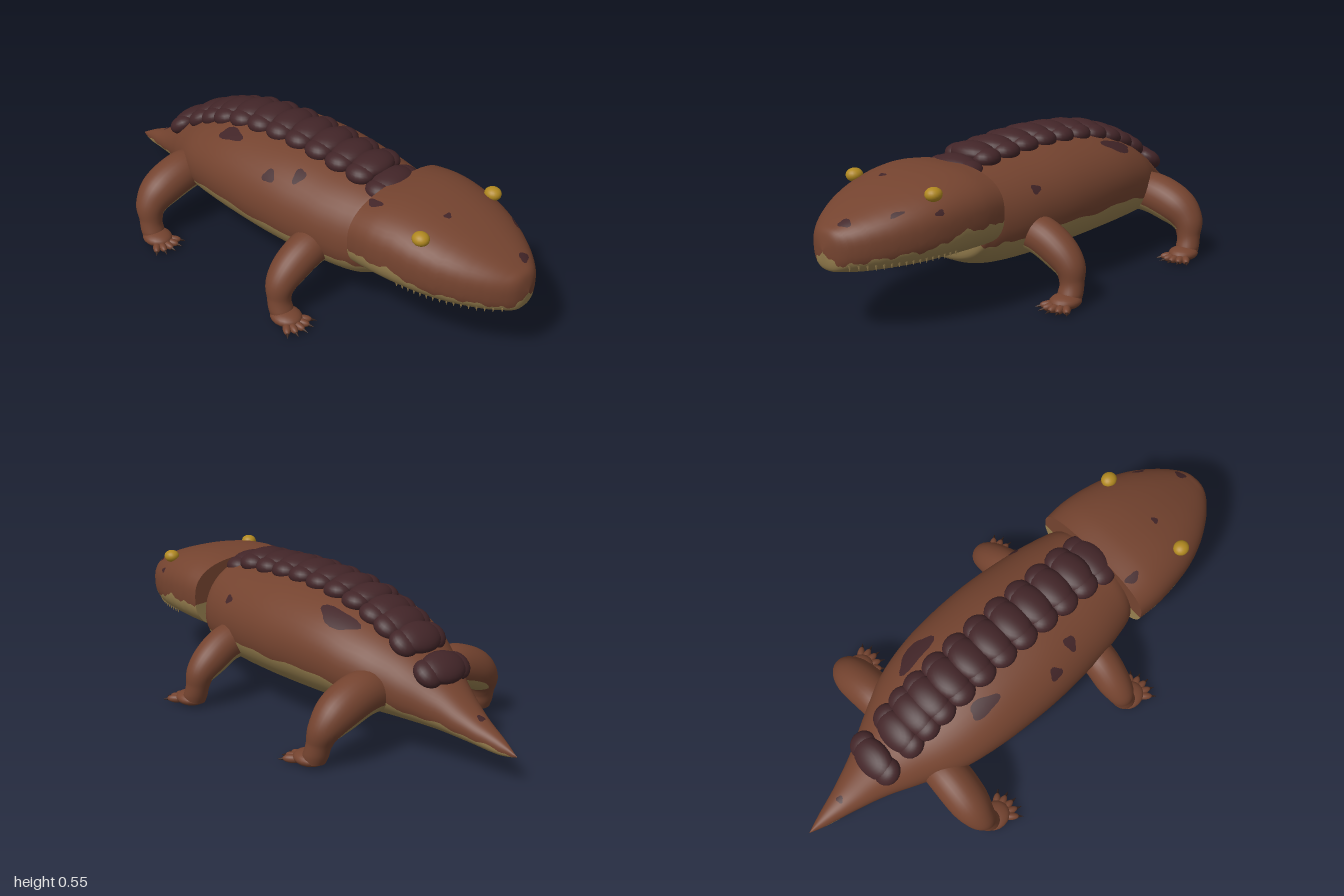
import * as THREE from 'three';

const mat = (name, color) => {
  const m = new THREE.MeshStandardMaterial({ color });
  m.name = name;
  return m;
};

// Catmull-Rom blend through the rows of a section table, t in 0..1
function sample(rows, t) {
  const f = THREE.MathUtils.clamp(t, 0, 1) * (rows.length - 1);
  const i = Math.min(Math.floor(f), rows.length - 2), k = f - i;
  const at = n => rows[THREE.MathUtils.clamp(n, 0, rows.length - 1)];
  return rows[0].map((_, c) => {
    const p0 = at(i - 1)[c], p1 = at(i)[c], p2 = at(i + 1)[c], p3 = at(i + 2)[c];
    return p1 + 0.5 * k * (p2 - p0 + k * (2 * p0 - 5 * p1 + 4 * p2 - p3 + k * (3 * (p1 - p2) + p3 - p0)));
  });
}

// Row index position (0..1) whose z matches
function findT(rows, z) {
  let lo = 0, hi = 1;
  for (let n = 0; n < 30; n++) {
    const m = (lo + hi) / 2;
    if (sample(rows, m)[0] < z) lo = m; else hi = m;
  }
  return lo;
}

// Closed smooth skin from fn(u, v) -> [x, y, z]; pick(u, v) chooses the material slot
function skin(fn, nu, nv, pick = () => 0, flip = false) {
  const pos = [], slots = [[], []];
  for (let i = 0; i <= nu; i++) for (let j = 0; j < nv; j++) pos.push(...fn(i / nu, j / nv));
  for (let i = 0; i < nu; i++) for (let j = 0; j < nv; j++) {
    const a = i * nv + j, b = i * nv + (j + 1) % nv, c = a + nv, d = b + nv;
    slots[pick((i + 0.5) / nu, (j + 0.5) / nv)].push(...(flip ? [a, c, b, b, c, d] : [a, b, c, b, d, c]));
  }
  const g = new THREE.BufferGeometry();
  g.setAttribute('position', new THREE.Float32BufferAttribute(pos, 3));
  g.setIndex([...slots[0], ...slots[1]]);
  g.addGroup(0, slots[0].length, 0);
  g.addGroup(slots[0].length, slots[1].length, 1);
  g.computeVertexNormals();
  return g;
}

// Sections: z, half width, top, bottom, widest height, colour border height
const BODY = [
  [-1.0, 0, 0.108, 0.104, 0.106, 0.106],
  [-0.93, 0.026, 0.148, 0.092, 0.12, 0.115],
  [-0.82, 0.06, 0.2, 0.1, 0.15, 0.14],
  [-0.7, 0.105, 0.28, 0.108, 0.19, 0.16],
  [-0.58, 0.165, 0.36, 0.11, 0.23, 0.19],
  [-0.44, 0.23, 0.43, 0.108, 0.27, 0.225],
  [-0.25, 0.27, 0.485, 0.103, 0.3, 0.245],
  [0.0, 0.282, 0.505, 0.098, 0.3, 0.25],
  [0.22, 0.265, 0.495, 0.097, 0.29, 0.235],
  [0.36, 0.24, 0.485, 0.107, 0.28, 0.225],
  [0.43, 0.215, 0.475, 0.13, 0.28, 0.22],
  [0.465, 0.17, 0.44, 0.16, 0.28, 0.22],
  [0.475, 0, 0.282, 0.278, 0.28, 0.28]];
const HEAD = [
  [0.43, 0.262, 0.49, 0.2, 0.35, 0.325],
  [0.52, 0.266, 0.5, 0.203, 0.35, 0.32],
  [0.62, 0.256, 0.493, 0.204, 0.345, 0.325],
  [0.72, 0.235, 0.472, 0.206, 0.335, 0.29],
  [0.81, 0.2, 0.444, 0.21, 0.325, 0.283],
  [0.89, 0.152, 0.412, 0.214, 0.315, 0.275],
  [0.95, 0.102, 0.383, 0.222, 0.305, 0.262],
  [0.985, 0.055, 0.358, 0.235, 0.3, 0.26],
  [1.0, 0, 0.302, 0.298, 0.3, 0.3]];

// Point on a section at angle a; e squares the outline, k swells it
function sectionPoint(rows, e, t, a, k = 1) {
  const [z, w, top, bot, cy] = sample(rows, t);
  const c = Math.cos(a), s = Math.sin(a), pw = q => Math.sign(q) * Math.abs(q) ** e;
  return [Math.max(w, 0) * pw(c) * k, cy + (s > 0 ? top - cy : cy - bot) * pw(s) * k, z];
}

// First half of v runs over the back, second half over the belly
function borderAngle(rows, e, t, v) {
  const r = sample(rows, t), wob = 0.006 * Math.sin(t * 47) + 0.004 * Math.sin(t * 103);
  const q = THREE.MathUtils.clamp((r[4] - r[5] + wob) / Math.max(r[4] - r[3], 0.01), 0, 0.9);
  const b = -Math.asin(q ** (1 / e));
  return v < 0.5 ? b + (Math.PI - 2 * b) * v * 2 : Math.PI - b + (Math.PI + 2 * b) * (v - 0.5) * 2;
}

export function createModel() {
  const model = new THREE.Group();
  model.name = 'amphibian';
  const brown = mat('brown skin', 0x74432f), tan = mat('tan belly', 0x98804f),
    dark = mat('dark plates', 0x422528), gold = mat('gold eyes', 0xb08820), claw = mat('dark claws', 0x352019);
  const add = (name, geo, m, parent = model) => {
    const mesh = new THREE.Mesh(geo, m);
    mesh.name = name;
    parent.add(mesh);
    return mesh;
  };
  const ball = new THREE.SphereGeometry(1, 20, 14);
  const blob = (name, m, p, s, parent) => {
    const b = add(name, ball, m, parent);
    b.position.set(...p);
    b.scale.set(...s);
    return b;
  };
  const half = (u, v) => (v < 0.5 ? 0 : 1);

  // Body with tail, and broad flat head closed at the back
  for (const [name, rows, e, nu] of [['body', BODY, 0.95, 80], ['head', HEAD, 0.78, 56]])
    add(name, skin((u, v) => sectionPoint(rows, e, u, borderAngle(rows, e, u, v)), nu, 56, half), [brown, tan]);
  add('headBack', skin((u, v) => {
    const [x, y, z] = sectionPoint(HEAD, 0.78, 0, borderAngle(HEAD, 0.78, 0, v));
    return [x * u, 0.34 + (y - 0.34) * u, z];
  }, 2, 56, half), [brown, tan]);

  // Back plates: a wide lobe with a smaller lobe at each end
  const plates = [0.4, 0.31, 0.21, 0.11, 0.01, -0.09, -0.19, -0.29, -0.385, -0.46, -0.54, -0.66];
  plates.forEach((z, i) => {
    const g = new THREE.Group();
    g.name = 'backPlate' + (i + 1);
    const t = findT(BODY, z), top = sample(BODY, t)[2];
    const lift = i === 0 ? -0.012 : 0.01;
    g.position.set(0, top + lift, z);
    g.rotation.x = z < -0.25 ? -Math.min(0.6, (-0.25 - z) * 2.2) : 0;
    blob('plateMiddle', dark, [0, 0, 0], [0.092, 0.038, 0.066], g);
    for (const s of [-1, 1]) blob('plateEnd', dark, [s * 0.066, -0.012, 0], [0.05, 0.036, 0.056], g);
    model.add(g);
  });

  // Dark spots that hug the skin: table, roundness, z, angle, size along z, size round the body
  const spots = [
    [BODY, 0.95, 0.13, 132, 0.022, 0.13], [BODY, 0.95, 0.02, 144, 0.026, 0.11],
    [BODY, 0.95, -0.31, 52, 0.085, 0.17], [BODY, 0.95, -0.26, 124, 0.06, 0.13],
    [BODY, 0.95, -0.84, 90, 0.012, 0.25], [BODY, 0.95, 0.24, 28, 0.02, 0.08],
    [HEAD, 0.78, 0.465, 122, 0.03, 0.08], [HEAD, 0.78, 0.69, 98, 0.011, 0.05],
    [HEAD, 0.78, 0.82, 42, 0.022, 0.07], [HEAD, 0.78, 0.94, 72, 0.016, 0.2],
    [HEAD, 0.78, 0.7, 22, 0.016, 0.07]];
  for (const [rows, e, z, deg, rz, ra] of spots)
    add('skinSpot', skin((u, v) => {
      const th = v * Math.PI * 2, r = u * (1 + 0.18 * Math.sin(3 * th + z * 20));
      return sectionPoint(rows, e, findT(rows, z + rz * r * Math.cos(th)),
        THREE.MathUtils.degToRad(deg) + ra * r * Math.sin(th), 1.014);
    }, 5, 20), dark);

  // Small teeth along the upper jaw
  const tooth = new THREE.ConeGeometry(0.006, 0.022, 6);
  tooth.rotateX(Math.PI);
  for (const s of [-1, 1]) for (let i = 0; i < 16; i++) {
    const [x, y, z] = sectionPoint(HEAD, 0.78, findT(HEAD, 0.62 + i * 0.0225), -0.62);
    add('tooth', tooth, tan).position.set(s * x, y - 0.004, z);
  }

  // Limb paths: x, y, z offset, radius
  const FRONT = [[0.17, 0.235, 0, 0.07], [0.26, 0.222, 0, 0.07], [0.335, 0.18, -0.005, 0.066],
    [0.382, 0.135, -0.005, 0.055], [0.395, 0.085, 0, 0.044], [0.398, 0.045, 0.012, 0.045], [0.4, 0.018, 0.018, 0.04]];
  const REAR = [[0.1, 0.215, 0, 0.07], [0.21, 0.225, 0, 0.08], [0.32, 0.19, -0.005, 0.077],
    [0.378, 0.14, -0.005, 0.06], [0.394, 0.085, 0.008, 0.045], [0.398, 0.045, 0.02, 0.045], [0.4, 0.018, 0.026, 0.04]];
  const clawGeo = new THREE.ConeGeometry(0.009, 0.034, 8);
  clawGeo.rotateX(Math.PI / 2);

  for (const [label, path, z0] of [['front', FRONT, 0.232], ['rear', REAR, -0.488]]) for (const s of [-1, 1]) {
    const leg = new THREE.Group();
    leg.name = label + (s > 0 ? 'LeftLeg' : 'RightLeg');
    model.add(leg);
    // Limb with a tan underside above the knee
    const limb = (u, v) => {
      const [x, y, dz, r] = sample(path, u), p = sample(path, u - 0.02), q = sample(path, u + 0.02);
      const l = Math.hypot(q[0] - p[0], q[1] - p[1]), nx = (p[1] - q[1]) / l, ny = (q[0] - p[0]) / l;
      const a = v * Math.PI * 2, c = Math.cos(a) * r;
      return [s * (x + nx * c), y + ny * c, z0 + dz + Math.sin(a) * r];
    };
    add('limb', skin(limb, 36, 28, (u, v) => (u < 0.56 && Math.abs(v - 0.5) < 0.19 ? 1 : 0), s < 0), [brown, tan], leg);
    // Foot with splayed toes and claws
    const fz = z0 + (label === 'front' ? 0.04 : 0.05);
    blob('foot', brown, [s * 0.4, 0.027, fz], [0.054, 0.027, 0.062], leg);
    for (let i = 0; i < 5; i++) {
      const a = (i - 2) * 0.36, dx = Math.sin(a), dz = Math.cos(a);
      const toe = blob('toe', brown, [s * 0.402 + dx * 0.058, 0.017, fz + dz * 0.058], [0.015, 0.015, 0.034], leg);
      toe.rotation.y = a;
      const c = add('claw', clawGeo, claw, leg);
      c.position.set(s * 0.402 + dx * 0.094, 0.014, fz + dz * 0.094);
      c.rotation.set(0.15, a, 0, 'YXZ');
    }
  }

  // Bulging eyes
  for (const s of [-1, 1]) blob(s > 0 ? 'leftEye' : 'rightEye', gold, [s * 0.193, 0.457, 0.692], [0.029, 0.024, 0.031]);
  return model;
}
